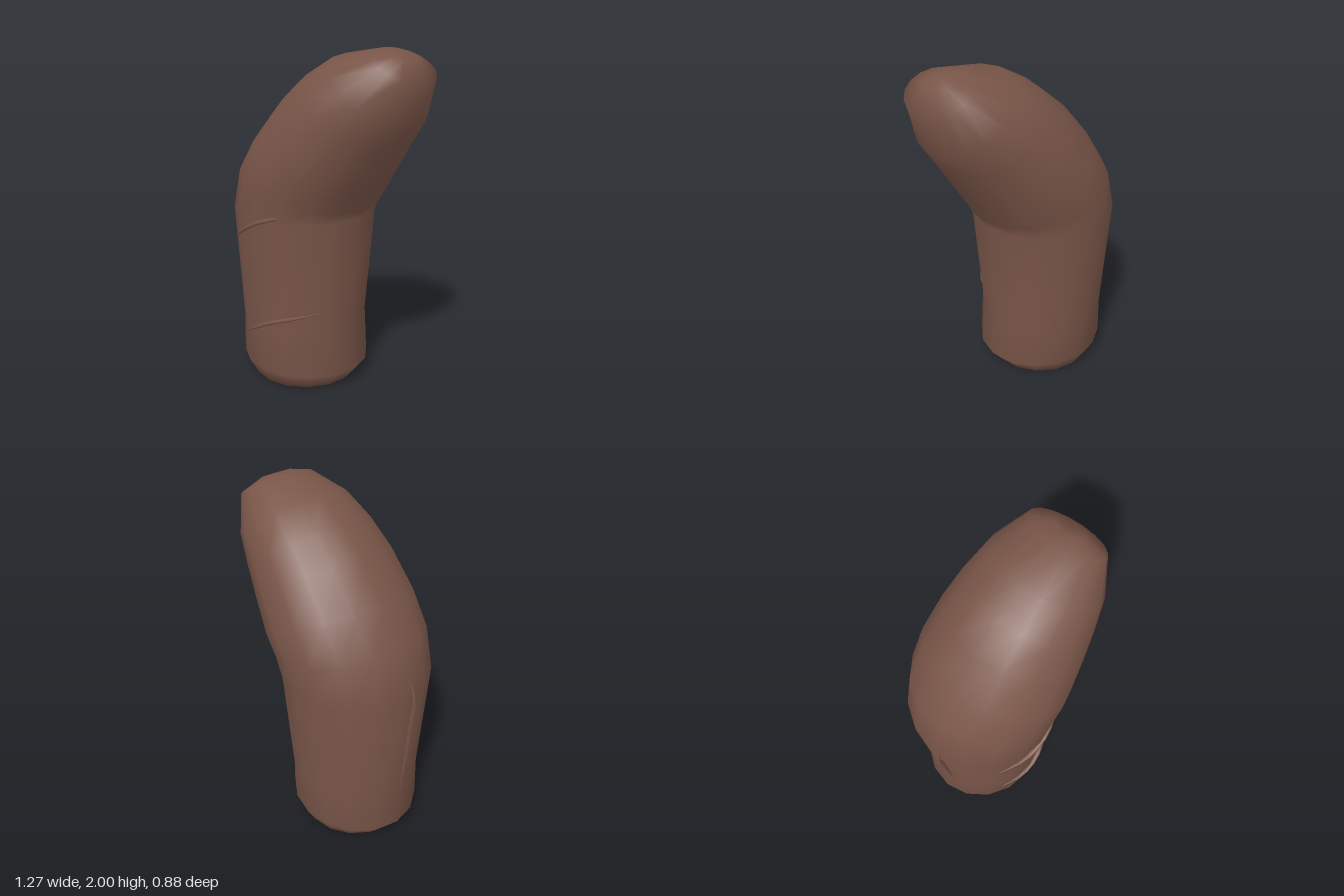
import * as THREE from 'three';

// Closed loft through rings of points, capped with a fan at each end
function loft(rings) {
  const n = rings[0].length, pos = [], idx = [];
  rings.forEach((r) => r.forEach((p) => pos.push(p.x, p.y, p.z)));
  for (let i = 0; i < rings.length - 1; i++) {
    for (let j = 0; j < n; j++) {
      const a = i * n + j, b = i * n + (j + 1) % n;
      idx.push(a, a + n, b, b, a + n, b + n);
    }
  }
  const last = (rings.length - 1) * n;
  for (let j = 1; j < n - 1; j++) {
    idx.push(0, j, j + 1);
    idx.push(last, last + j + 1, last + j);
  }
  const g = new THREE.BufferGeometry();
  g.setAttribute('position', new THREE.Float32BufferAttribute(pos, 3));
  g.setIndex(idx);
  g.computeVertexNormals();
  return g;
}

// Tilted ellipse between a left and a right point, with half depth hz
function bodyRing([lx, ly, rx, ry, hz]) {
  return Array.from({ length: 16 }, (_, j) => {
    const a = (j / 16) * Math.PI * 2, t = (1 - Math.cos(a)) / 2;
    return new THREE.Vector3(lx + (rx - lx) * t, ly + (ry - ly) * t, -Math.sin(a) * hz);
  });
}

// Tapered crease following a list of points; w is half height, d half depth
function crease(points, w, d, across) {
  const curve = new THREE.CatmullRomCurve3(points);
  const steps = 10, rings = [];
  for (let i = 0; i <= steps; i++) {
    const t = i / steps, k = 0.06 + 0.94 * Math.sin(Math.PI * t);
    const c = curve.getPoint(t), dir = curve.getTangent(t);
    const side = new THREE.Vector3().crossVectors(across, dir).normalize();
    const out = new THREE.Vector3().crossVectors(dir, side).normalize();
    rings.push(Array.from({ length: 6 }, (_, j) => {
      const a = (-j / 6) * Math.PI * 2;
      return c.clone().addScaledVector(side, Math.sin(a) * w * k)
        .addScaledVector(out, Math.cos(a) * d * k);
    }));
  }
  return loft(rings);
}

export function createModel() {
  const group = new THREE.Group();
  const brown = new THREE.MeshStandardMaterial({ color: 0x795548, side: THREE.DoubleSide });
  brown.name = 'brown';
  const add = (name, geometry) => {
    const mesh = new THREE.Mesh(geometry, brown);
    mesh.name = name;
    group.add(mesh);
  };

  // Bent trunk: left x, left y, right x, right y, half depth
  const sections = [
    [-0.52, 0, 0.12, 0, 0.32],
    [-0.6, 0.1, 0.2, 0.1, 0.37],
    [-0.57, 0.35, 0.165, 0.38, 0.385],
    [-0.61, 1.06, 0.225, 1.05, 0.428],
    [-0.535, 1.33, 0.25, 1.1, 0.437],
    [-0.395, 1.53, 0.3, 1.18, 0.44],
    [-0.22, 1.73, 0.4, 1.34, 0.41],
    [-0.06, 1.86, 0.49, 1.48, 0.375],
    [0.12, 1.96, 0.575, 1.61, 0.33],
    [0.38, 2, 0.635, 1.83, 0.225],
    [0.47, 1.985, 0.56, 1.94, 0.09],
  ];
  add('trunk', loft(sections.map(bodyRing)));

  // Two curved creases across the front
  const front = new THREE.Vector3(0, 0, 1);
  const frontCrease = (name, x0, y0, rx, hz) => {
    const pts = [[0, 0], [0.14, 0.085], [0.29, 0.165], [0.43, 0.21], [0.535, 0.235]].map(([x, y]) => {
      const u = (x0 + x + 0.195) / rx;
      return new THREE.Vector3(x0 + x, y0 + y, hz * Math.sqrt(1 - u * u) + 0.005);
    });
    add(name, crease(pts, 0.013, 0.018, front));
  };
  frontCrease('lowerCrease', -0.41, 0.27, 0.37, 0.385);
  frontCrease('upperCrease', -0.45, 0.88, 0.41, 0.42);

  // Long upright ridge on the right side
  const ridge = [[-0.565, 0.3], [-0.585, 0.55], [-0.61, 0.85], [-0.622, 1.04], [-0.585, 1.14]]
    .map(([x, y]) => new THREE.Vector3(x, y, 0.04));
  add('sideRidge', crease(ridge, 0.011, 0.016, new THREE.Vector3(-1, 0, 0)));

  return group;
}
